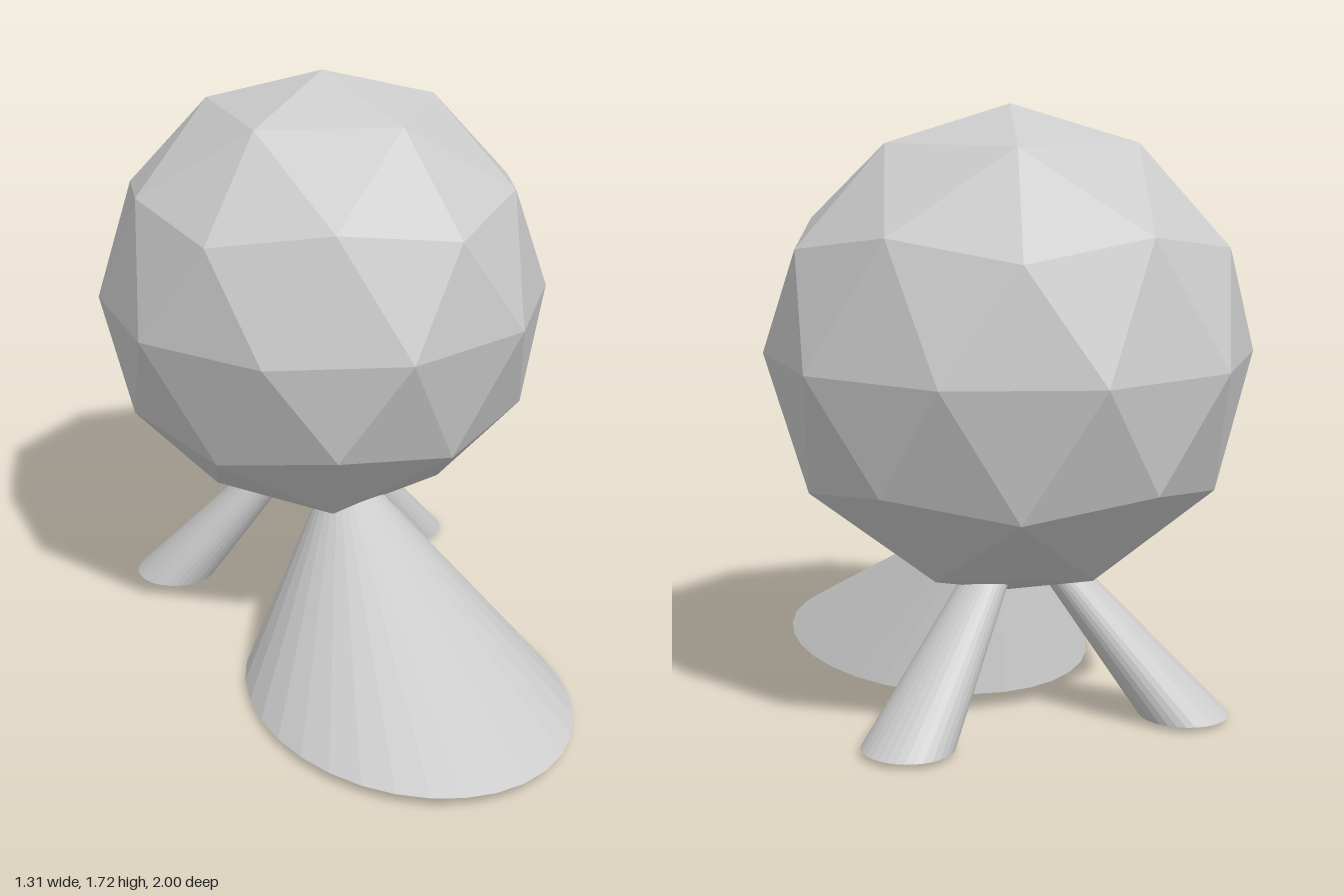
import * as THREE from 'three';

const material = new THREE.MeshStandardMaterial({ color: 0xcccccc, flatShading: true });

function part(name, geometry) {
  const faceted = geometry.index ? geometry.toNonIndexed() : geometry;
  faceted.computeVertexNormals();
  const mesh = new THREE.Mesh(faceted, material);
  mesh.name = name;
  return mesh;
}

// Slanted tapering leg: an elliptical foot (radii rx, rz) swept to an offset top,
// scaled by taper; tilt raises the front rim of the foot and lowers its back rim.
function slantedLeg(name, foot, top, rx, rz, taper, tilt = 0) {
  const geometry = new THREE.CylinderGeometry(taper, 1, 1, 32).translate(0, 0.5, 0);
  const pos = geometry.attributes.position;
  const centre = new THREE.Vector3();
  for (let i = 0; i < pos.count; i++) {
    const x = pos.getX(i), t = pos.getY(i), z = pos.getZ(i);
    centre.lerpVectors(foot, top, t);
    pos.setXYZ(i, centre.x + x * rx, centre.y + z * tilt * (1 - t), centre.z + z * rz);
  }
  return part(name, geometry);
}

export function createModel() {
  const model = new THREE.Group();
  model.name = 'ballOnThreeLegs';

  // Faceted ball, turned so that a corner points straight up
  const ball = new THREE.IcosahedronGeometry(0.69, 1);
  ball.rotateZ(-Math.atan(2 / (1 + Math.sqrt(5))));
  ball.translate(0, 1.03, -0.31);
  model.add(part('ball', ball));

  // Broad front leg, a leaning cone whose tip sits inside the ball
  model.add(slantedLeg('frontLeg',
    new THREE.Vector3(-0.025, 0.015, 0.39), new THREE.Vector3(-0.015, 0.565, -0.165),
    0.455, 0.61, 0, 0.015));

  // Two slim back legs splayed out and backwards
  for (const [name, side, footX] of [['leftBackLeg', 1, 0.4], ['rightBackLeg', -1, 0.42]]) {
    model.add(slantedLeg(name,
      new THREE.Vector3(side * footX, 0.015, -0.6), new THREE.Vector3(side * 0.02, 0.55, -0.375),
      0.128, 0.13, 0.37));
  }
  return model;
}
